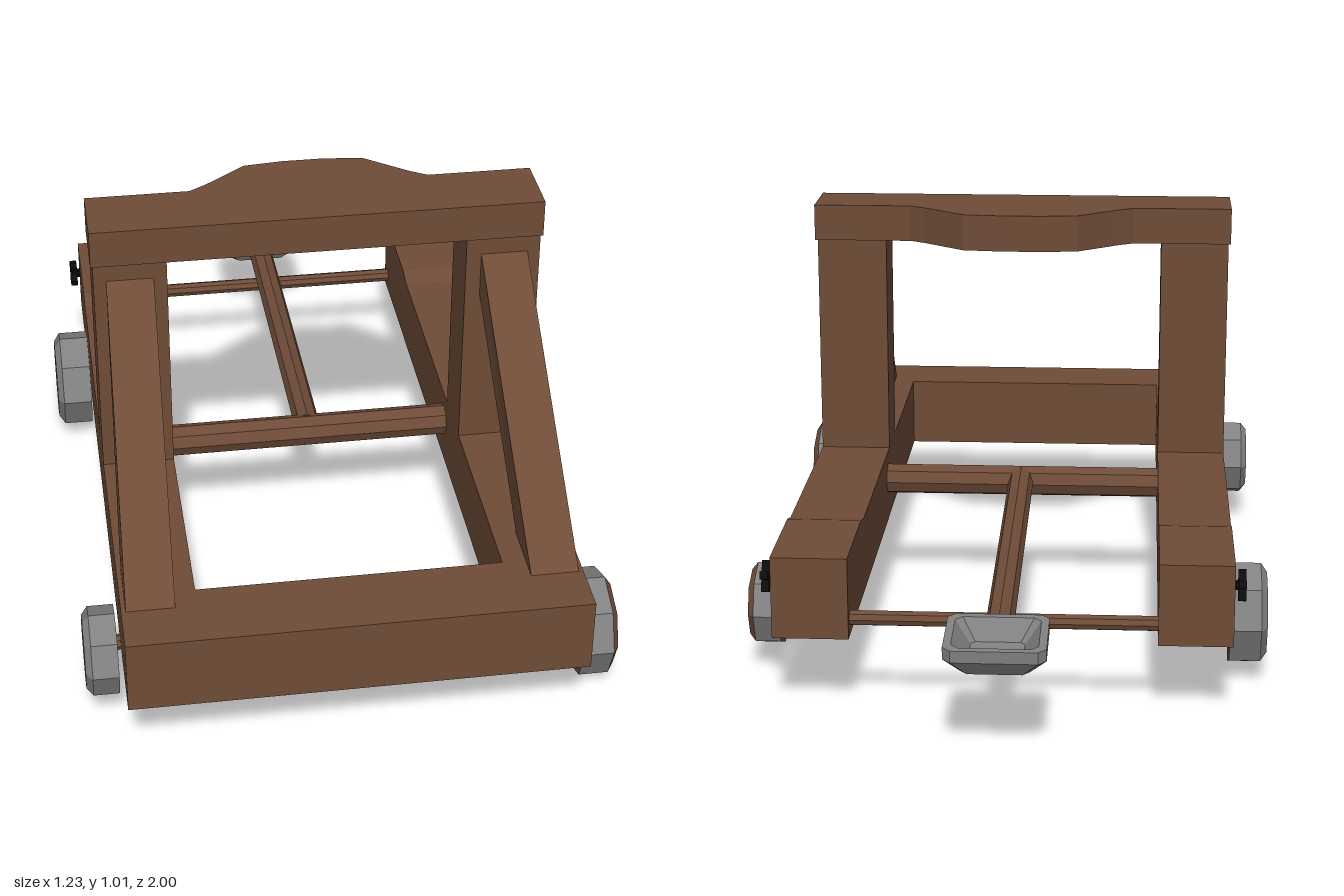
import * as THREE from 'three';

const flat = (name, color) => {
  const m = new THREE.MeshStandardMaterial({ color, flatShading: true });
  m.name = name;
  return m;
};

const CX = -0.0075; // centre line of the timber frame

export function createModel() {
  const model = new THREE.Group();
  model.name = 'catapult';
  const wood = flat('wood', 0x6f4c38);
  const metal = flat('metal', 0x828282);
  const black = flat('black iron', 0x0c0c0c);

  const add = (name, geometry, material, parent = model) => {
    const mesh = new THREE.Mesh(geometry, material);
    mesh.name = name;
    parent.add(mesh);
    return mesh;
  };
  // box given by its limits on each axis
  const block = (name, [x0, x1], [y0, y1], [z0, z1], material = wood) =>
    add(name, new THREE.BoxGeometry(x1 - x0, y1 - y0, z1 - z0)
      .translate((x0 + x1) / 2, (y0 + y1) / 2, (z0 + z1) / 2), material);
  // eight-sided rod between two points
  const rod = (name, a, b, r, material = wood) => {
    const from = new THREE.Vector3(...a), to = new THREE.Vector3(...b);
    const dir = to.clone().sub(from);
    const mesh = add(name, new THREE.CylinderGeometry(r, r, dir.length(), 8), material);
    mesh.position.copy(from).add(to).multiplyScalar(0.5);
    mesh.quaternion.setFromUnitVectors(new THREE.Vector3(0, 1, 0), dir.normalize());
    return mesh;
  };
  const outline = (points) => new THREE.Shape(points.map(([x, y]) => new THREE.Vector2(x, y)));

  // side rails with a raised rear end, posts and sloping braces
  const railShape = outline([[-1, 0.185], [0.72, 0.185], [0.72, 0.378], [0.45, 0.378], [0.4, 0.365], [-1, 0.365]]);
  for (const s of [-1, 1]) {
    const side = s > 0 ? 'left' : 'right';
    const x = s > 0 ? [0.34, 0.515] : [-0.53, -0.36];
    const rail = new THREE.ExtrudeGeometry(railShape, { depth: x[1] - x[0], bevelEnabled: false });
    rail.rotateY(Math.PI / 2).translate(x[0], 0, 0);
    add(side + 'Rail', rail, wood);
    block(side + 'Post', x, [0.36, 0.925], [0.175, 0.32]);

    const brace = new THREE.BoxGeometry(1, 1, 1);
    const p = brace.attributes.position;
    for (let i = 0; i < p.count; i++) {
      const top = p.getY(i) > 0, front = p.getZ(i) > 0;
      const mid = top ? 0.438 : 0.457;
      const px = CX + s * mid + p.getX(i) * 0.11;
      if (top) p.setXYZ(i, px, front ? 0.88 : 0.77, 0.318);
      else p.setXYZ(i, px, 0.362, front ? 0.885 : 0.73);
    }
    brace.computeVertexNormals();
    add(side + 'Brace', brace, wood);
  }
  block('frontBeam', [-0.365, 0.345], [0.185, 0.365], [0.825, 1]);

  // crossbeam with a stop bulging to the rear
  const beam = new THREE.ExtrudeGeometry(outline([
    [-0.535, -0.325], [0.52, -0.325], [0.52, -0.16], [0.275, -0.16], [0.235, -0.135], [0.135, -0.055],
    [0.04, -0.045], [-0.055, -0.045], [-0.15, -0.055], [-0.25, -0.135], [-0.29, -0.16], [-0.535, -0.16],
  ]), { depth: 0.09, bevelEnabled: false });
  add('crossbeam', beam.rotateX(-Math.PI / 2).translate(0, 0.92, 0), wood);

  // throwing arm and the rods it sits on
  rod('pivotRod', [-0.37, 0.293, 0.14], [0.35, 0.293, 0.14], 0.039);
  rod('rearRod', [-0.37, 0.225, -0.685], [0.35, 0.225, -0.685], 0.018);
  rod('throwingArm', [CX, 0.3, 0.13], [CX, 0.252, -0.815], 0.032);

  // scoop: chamfered rectangles from the underside over the rim to the hollow
  const rings = [[0.001, 0.001, -0.034], [0.075, 0.075, -0.034], [0.1125, 0.097, 0.002], [0.1125, 0.097, 0.03],
    [0.095, 0.08, 0.03], [0.06, 0.05, -0.016], [0.001, 0.001, -0.018]];
  const verts = [], index = [];
  rings.forEach(([w, d, y], r) => {
    const c = Math.min(0.018, w * 0.2, d * 0.2);
    const loop = [[w, -d + c], [w, d - c], [w - c, d], [-w + c, d], [-w, d - c], [-w, -d + c], [-w + c, -d], [w - c, -d]];
    loop.forEach(([x, z], i) => {
      verts.push(x, y, z);
      if (r === rings.length - 1) return;
      const a = r * 8 + i, b = r * 8 + (i + 1) % 8;
      index.push(a, a + 8, b + 8, a, b + 8, b);
    });
  });
  const bowl = new THREE.BufferGeometry();
  bowl.setAttribute('position', new THREE.Float32BufferAttribute(verts, 3));
  bowl.setIndex(index);
  bowl.computeVertexNormals();
  const scoop = add('scoop', bowl, metal);
  scoop.position.set(CX, 0.252, -0.902);
  scoop.rotation.x = -0.06;

  // wheels: metal tread, wooden faces, bevelled outside, on short slanting stubs
  const wheels = [
    { name: 'frontLeft', s: 1, x: 0.53, y: 0.128, z: 0.773, r: 0.125, w: 0.07 },
    { name: 'rearLeft', s: 1, x: 0.535, y: 0.15, z: -0.402, r: 0.102, w: 0.06 },
    { name: 'frontRight', s: -1, x: 0.54, y: 0.17, z: 0.77, r: 0.102, w: 0.06 },
    { name: 'rearRight', s: -1, x: 0.53, y: 0.147, z: -0.4, r: 0.125, w: 0.073 },
  ];
  for (const { name, s, x, y, z, r, w } of wheels) {
    const wheel = new THREE.Group();
    wheel.name = name + 'Wheel';
    add('tread', new THREE.CylinderGeometry(r, r, w, 8).translate(0, w / 2, 0), [metal, wood, wood], wheel);
    add('outerFace', new THREE.CylinderGeometry(r * 0.82, r, 0.015, 8).translate(0, w + 0.0075, 0),
      [s > 0 ? wood : metal, wood, wood], wheel);
    wheel.rotation.z = -s * Math.PI / 2;
    wheel.position.set(s * x, y, z);
    model.add(wheel);
    rod(name + 'Stub', [s * 0.46, y + 0.055, z], [s * (x + 0.01), y + 0.01, z], 0.017);
  }

  // black cross-shaped pins on the rail sides
  for (const s of [-1, 1]) {
    const pin = new THREE.Group();
    pin.name = (s > 0 ? 'left' : 'right') + 'Pin';
    for (const angle of [0.4, 0.4 + Math.PI / 2]) {
      const bar = add('pinBar', new THREE.BoxGeometry(0.018, 0.018, 0.072), black, pin);
      bar.rotation.x = angle;
    }
    const shaft = add('pinShaft', new THREE.CylinderGeometry(0.012, 0.012, 0.05, 8), black, pin);
    shaft.rotation.z = Math.PI / 2;
    shaft.position.x = -s * 0.025;
    pin.position.set(CX + s * 0.54, 0.315, -0.668);
    model.add(pin);
  }
  return model;
}
